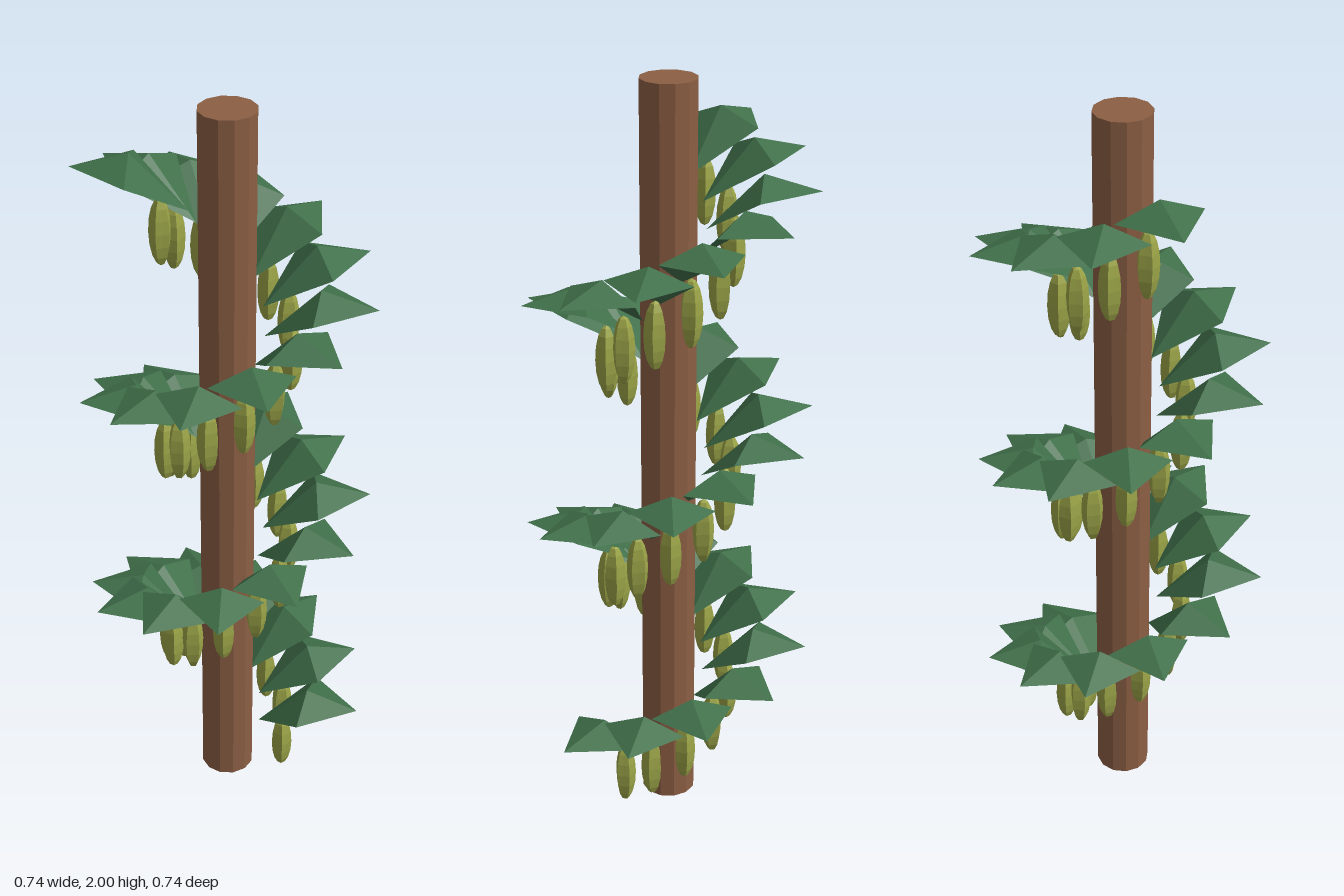
import * as THREE from 'three';

const COUNT = 30;
const TURN = THREE.MathUtils.degToRad(31.5); // angle between neighbours on the spiral
const RISE = 0.0543;                         // height gained per leaf

// Folded diamond leaf: x points away from the trunk, with a raised centre
function leafGeometry() {
  const inner = [0.092, 0.164, 0], tip = [0.372, 0.27, 0], ridge = [0.23, 0.308, 0];
  const left = [0.23, 0.266, 0.109], right = [0.23, 0.266, -0.109];
  const faces = [inner, left, ridge, left, tip, ridge, tip, right, ridge, right, inner, ridge];
  const geometry = new THREE.BufferGeometry();
  geometry.setAttribute('position', new THREE.Float32BufferAttribute(faces.flat(), 3));
  geometry.computeVertexNormals();
  return geometry;
}

// Long pod with five ribs: every other column of a sphere is pulled in
function podGeometry() {
  const geometry = new THREE.SphereGeometry(1, 10, 8);
  const p = geometry.attributes.position;
  for (let i = 0; i < p.count; i++) {
    const rib = 0.9 + 0.1 * Math.cos(5 * Math.atan2(p.getZ(i), p.getX(i)));
    p.setXYZ(i, p.getX(i) * 0.029 * rib, p.getY(i) * 0.09, p.getZ(i) * 0.029 * rib);
  }
  geometry.computeVertexNormals();
  return geometry;
}

export function createModel() {
  const model = new THREE.Group();
  const bark = new THREE.MeshStandardMaterial({ name: 'bark brown', color: 0x8c5f44, flatShading: true });
  const green = new THREE.MeshStandardMaterial({
    name: 'leaf green', color: 0x40704a, flatShading: true, side: THREE.DoubleSide,
  });
  const olive = new THREE.MeshStandardMaterial({ name: 'pod olive', color: 0x9ca548, flatShading: true });

  // Trunk
  const trunk = new THREE.Mesh(new THREE.CylinderGeometry(0.072, 0.072, 2, 12), bark);
  trunk.name = 'trunk';
  trunk.position.y = 1;
  model.add(trunk);

  // Spiral of leaves, each with a pod hanging below
  const leafShape = leafGeometry();
  const podShape = podGeometry();
  for (let i = 0; i < COUNT; i++) {
    const sprig = new THREE.Group();
    sprig.name = `sprig${i + 1}`;
    sprig.position.y = i * RISE;
    sprig.rotation.y = i * TURN;

    const leaf = new THREE.Mesh(leafShape, green);
    leaf.name = 'leaf';
    const pod = new THREE.Mesh(podShape, olive);
    pod.name = 'pod';
    pod.position.set(0.16, 0.108, 0);
    sprig.add(leaf, pod);
    model.add(sprig);
  }
  return model;
}
